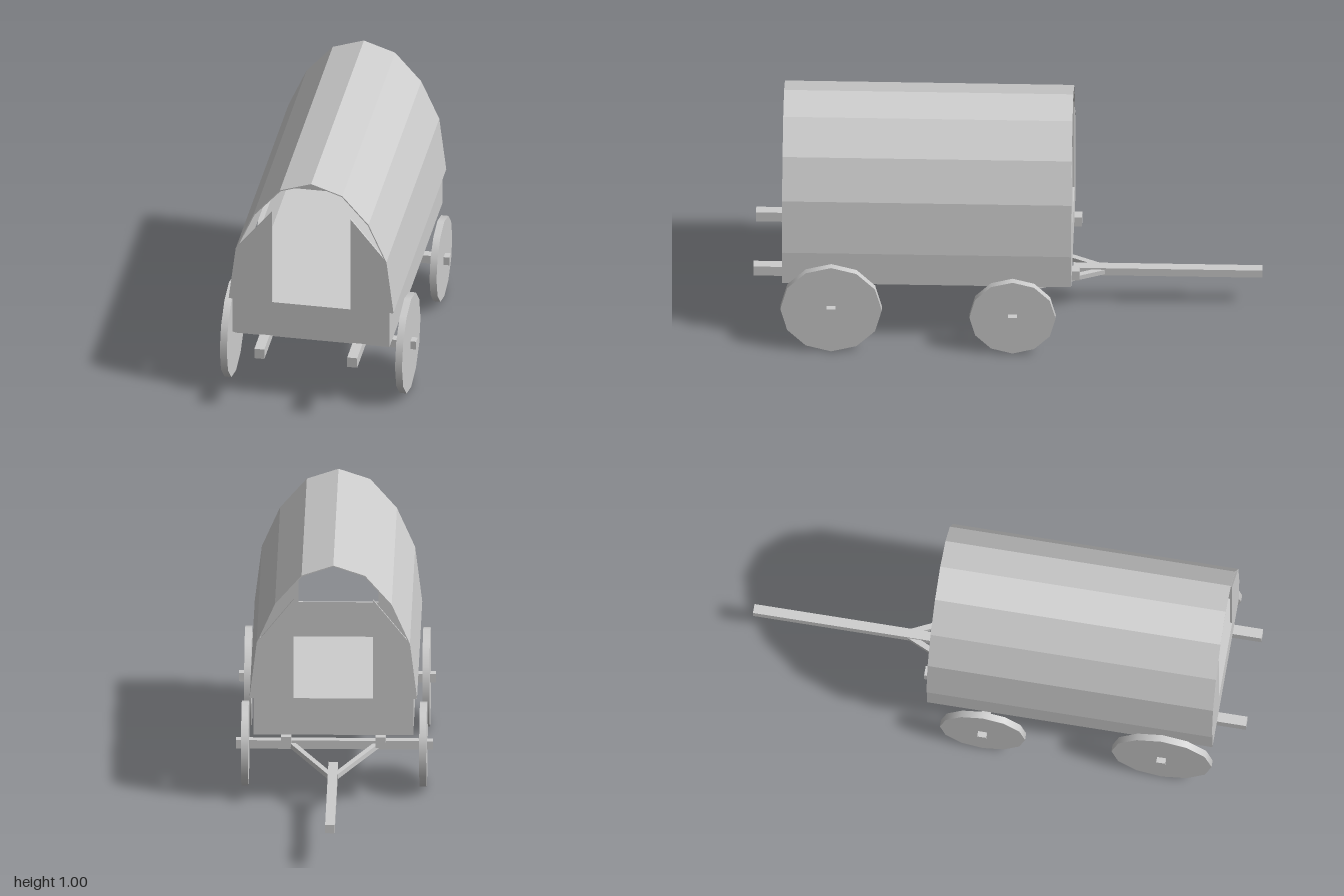
import * as THREE from 'three';

const Z_FRONT = 0.885, Z_BACK = -0.255;
const LENGTH = Z_FRONT - Z_BACK, Z_MID = (Z_FRONT + Z_BACK) / 2;

export function createModel() {
  const model = new THREE.Group();
  model.name = 'coveredWagon';
  const grey = new THREE.MeshStandardMaterial({ color: 0xcccccc });

  function add(name, geometry, x = 0, y = 0, z = 0) {
    const mesh = new THREE.Mesh(geometry, grey);
    mesh.name = name;
    mesh.position.set(x, y, z);
    model.add(mesh);
    return mesh;
  }
  const box = (name, w, h, d, x, y, z) => add(name, new THREE.BoxGeometry(w, h, d), x, y, z);
  const extrude = (points, depth) => new THREE.ExtrudeGeometry(
    new THREE.Shape(points.map(([x, y]) => new THREE.Vector2(x, y))),
    { depth, bevelEnabled: false });
  const mirror = (points) => points.map(([x, y]) => [-x, y]).reverse();

  // Faceted canvas cover: a thin arch run along the wagon
  const outer = [[0.33, 0.448], [0.302, 0.675], [0.23, 0.838], [0.125, 0.958]];
  const inner = [[0.326, 0.448], [0.298, 0.674], [0.227, 0.835], [0.123, 0.954]];
  add('canvasCover', extrude([
    ...outer, [0, 1], ...mirror(outer),
    ...inner.map(([x, y]) => [-x, y]), [0, 0.996], ...[...inner].reverse(),
  ], LENGTH), 0, 0, Z_BACK);

  // End panels with a tall opening
  const half = [[0.315, 0.293], [0.315, 0.445], [0.329, 0.445], [0.301, 0.675],
    [0.289, 0.692], [0.157, 0.857], [0.157, 0.445]];
  const panel = extrude([...half, ...mirror(half)], 0.008);
  add('frontPanel', panel, 0, 0, Z_FRONT - 0.008);
  add('backPanel', panel, 0, 0, Z_BACK);

  // Wagon bed
  box('floor', 0.63, 0.008, LENGTH, 0, 0.297, Z_MID);
  for (const side of [-1, 1]) {
    box('sideWall', 0.008, 0.15, LENGTH, side * 0.311, 0.369, Z_MID);
    box('bedBeam', 0.04, 0.043, 1.285, side * 0.186, 0.2715, 0.3575);
  }

  // Axles with solid twelve-sided wheels
  for (const [label, radius, y, z] of [['large', 0.2, 0.202, 0.69], ['small', 0.17, 0.175, -0.025]]) {
    box(label + 'WheelAxle', 0.776, 0.035, 0.035, 0, y, z);
    const wheel = new THREE.CylinderGeometry(radius, radius, 0.028, 12).rotateZ(Math.PI / 2);
    for (const side of [-1, 1]) add(label + 'Wheel', wheel, side * 0.351, y, z);
  }

  // Drawbar and its two diagonal braces to the axle
  box('drawbar', 0.038, 0.034, 0.745, 0, 0.163, -0.6275);
  for (const side of [-1, 1]) {
    const start = new THREE.Vector3(side * 0.01, 0.162, -0.375);
    const end = new THREE.Vector3(side * 0.17, 0.173, -0.03);
    const brace = box('drawbarBrace', 0.022, 0.02, start.distanceTo(end), 0, 0, 0);
    brace.position.copy(start).lerp(end, 0.5);
    brace.lookAt(end);
  }
  return model;
}
